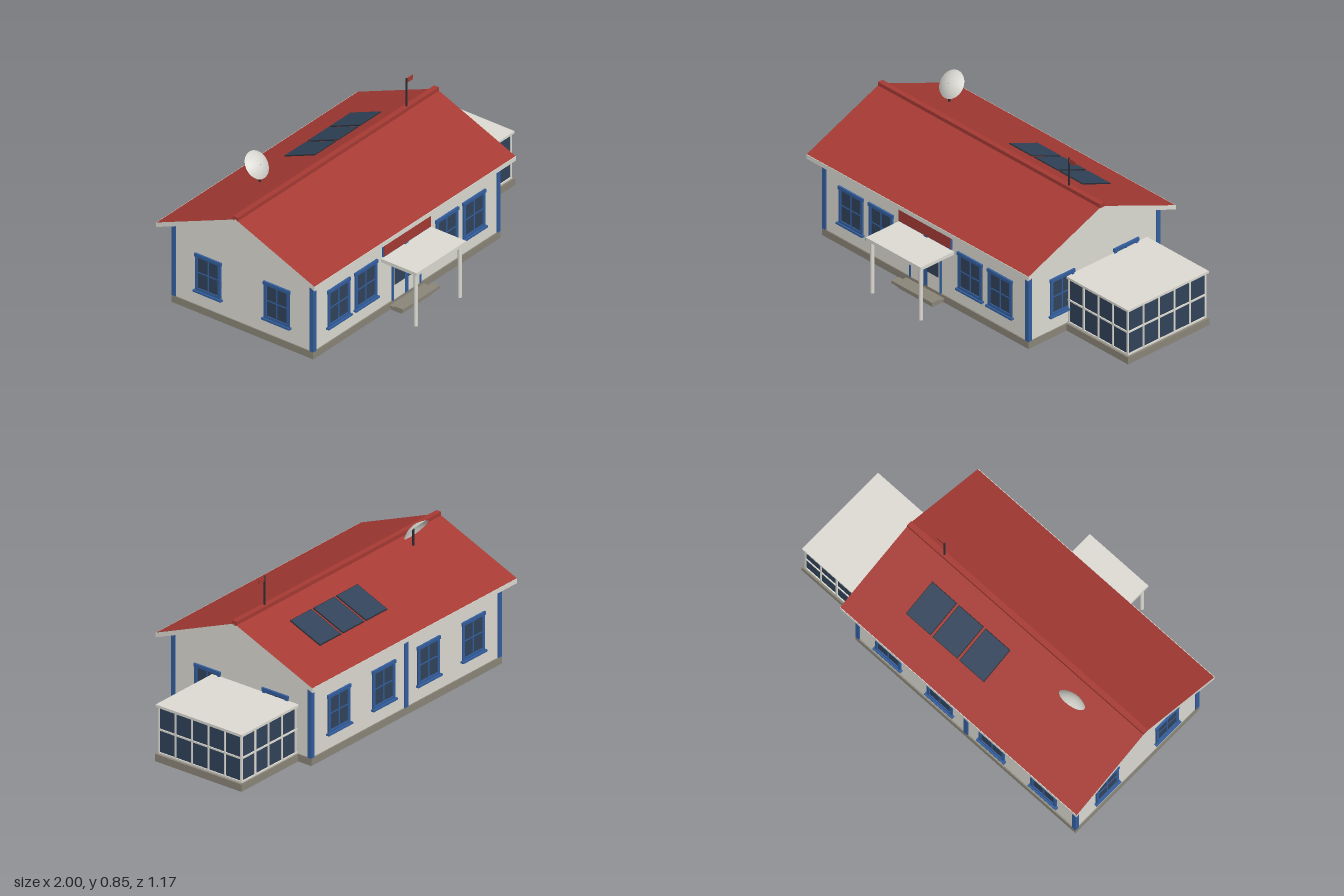
import * as THREE from 'three';

const mat = (name, color) => Object.assign(new THREE.MeshStandardMaterial({ color }), { name });

export function createModel() {
  const root = new THREE.Group();
  root.name = 'house';
  const white = mat('off white', 0xdddbd3), red = mat('roof red', 0xa63a33), blue = mat('trim blue', 0x335f9f);
  const glass = mat('glass navy', 0x31435a), stone = mat('stone grey', 0x8b8679), dark = mat('dark metal', 0x2b2c33);

  // Box given by its minimum and maximum corners
  function box(name, m, x0, x1, y0, y1, z0, z1, parent = root) {
    const mesh = new THREE.Mesh(new THREE.BoxGeometry(x1 - x0, y1 - y0, z1 - z0), m);
    mesh.position.set((x0 + x1) / 2, (y0 + y1) / 2, (z0 + z1) / 2);
    mesh.name = name;
    parent.add(mesh);
    return mesh;
  }
  function rod(name, m, r, x, y0, y1, z) {
    const mesh = new THREE.Mesh(new THREE.CylinderGeometry(r, r, y1 - y0, 16), m);
    mesh.position.set(x, (y0 + y1) / 2, z);
    mesh.name = name;
    root.add(mesh);
  }
  // Profile of [z, y] points swept from x0 to x1
  function sweep(name, m, points, x0, x1) {
    const shape = new THREE.Shape(points.map(([z, y]) => new THREE.Vector2(-z, y)));
    const geo = new THREE.ExtrudeGeometry(shape, { depth: x1 - x0, bevelEnabled: false });
    geo.rotateY(Math.PI / 2).translate(x0, 0, 0);
    const mesh = new THREE.Mesh(geo, m);
    mesh.name = name;
    root.add(mesh);
  }

  // Main body and plinth
  const L = -0.945, R = 0.55, F = 0.367, B = -0.529, MID = -0.198, RIDGE = -0.081;
  box('plinth', stone, L, R, 0.006, 0.046, B, F);
  sweep('walls', white, [[F - 0.007, 0.046], [F - 0.007, 0.465], [RIDGE, 0.648], [B + 0.007, 0.465], [B + 0.007, 0.046]], L + 0.006, R - 0.006);

  // Corner and middle pilasters, bands under the eaves
  for (const x of [L, R - 0.025])
    for (const z of [B, F - 0.025]) box('cornerPost', blue, x, x + 0.025, 0.046, 0.468, z, z + 0.025);
  for (const z of [B, F - 0.012]) {
    box('middlePost', blue, MID - 0.013, MID + 0.013, 0.046, 0.46, z, z + 0.012);
    box('eaveBand', blue, L, R, 0.446, 0.465, z, z + 0.012);
  }

  // Gable roof with pale end faces, eave boards and ridge cap
  const T = 0.026;
  sweep('roof', [white, red], [[0.417, 0.471], [RIDGE, 0.674], [-0.579, 0.471],
    [-0.579, 0.471 - T], [RIDGE, 0.674 - T], [0.417, 0.471 - T]], -1, 0.605);
  for (const z of [0.416, -0.582]) box('eaveBoard', white, -1, 0.605, 0.445, 0.47, z, z + 0.004);
  box('ridgeCap', red, -1, 0.605, 0.665, 0.688, RIDGE - 0.015, RIDGE + 0.015);

  // Paned window with frame and sill, facing +z before turning
  function paneWindow(x, z, turn, w = 0.172) {
    const g = new THREE.Group();
    g.name = 'window';
    const h = w / 2, y0 = 0.132, y1 = 0.342, t = 0.016, ym = 0.237;
    box('windowGlass', glass, -h, h, y0, y1, -0.004, 0.003, g);
    for (const s of [-1, 1]) box('frameSide', blue, s * (h - t / 2) - t / 2, s * (h - t / 2) + t / 2, y0, y1, 0, 0.009, g);
    box('frameTop', blue, -h - 0.004, h + 0.004, y1 - t, y1 + 0.002, 0, 0.011, g);
    box('frameBottom', blue, -h, h, y0, y0 + t, 0, 0.009, g);
    box('muntinUpright', blue, -0.004, 0.004, y0, y1, 0, 0.006, g);
    box('muntinCross', blue, -h, h, ym - 0.003, ym + 0.003, 0, 0.006, g);
    box('sill', blue, -h - 0.009, h + 0.009, 0.124, 0.134, 0, 0.018, g);
    g.position.set(x, 0, z);
    g.rotation.y = turn;
    root.add(g);
  }
  for (const x of [-0.738, -0.521, 0.125, 0.342]) paneWindow(x, F - 0.007, 0);
  for (const x of [-0.725, -0.373, -0.022, 0.329]) paneWindow(x, B + 0.007, Math.PI);
  for (const z of [0.136, -0.298]) {
    paneWindow(R - 0.006, z, Math.PI / 2, 0.16);
    paneWindow(L + 0.006, z, -Math.PI / 2, 0.16);
  }

  // Double door
  const W = F - 0.007;
  box('doorLeaves', white, -0.312, -0.084, 0.046, 0.285, W, W + 0.004);
  for (const x of [-0.312, -0.094]) box('doorJamb', blue, x, x + 0.01, 0.046, 0.285, W, W + 0.008);
  box('doorLintel', blue, -0.312, -0.084, 0.275, 0.285, W, W + 0.008);
  for (const x of [-0.293, -0.189]) box('doorGlass', glass, x, x + 0.086, 0.13, 0.252, W, W + 0.006);

  // Blank sign board over the entrance
  box('signBacking', blue, -0.388, -0.008, 0.335, 0.446, W, W + 0.01);
  box('signFace', red, -0.384, -0.012, 0.339, 0.442, W + 0.01, W + 0.013);

  // Porch canopy, posts and steps
  box('canopy', white, -0.395, 0.002, 0.307, 0.326, W, 0.585);
  for (const x of [-0.373, -0.021]) rod('porchPost', white, 0.011, x, 0.006, 0.308, 0.562);
  box('upperStep', stone, -0.345, -0.05, 0.031, 0.046, 0.408, 0.459);
  box('middleStep', stone, -0.333, -0.062, 0.016, 0.031, 0.36, 0.445);
  box('lowerStep', stone, -0.321, -0.074, 0, 0.016, 0.327, 0.432);

  // Glazed side room
  const SX = 0.982, SB = -0.436, SF = 0.098, b = 0.009;
  box('sideRoomPlinth', stone, R, 0.995, 0.006, 0.046, -0.445, 0.108);
  box('sideRoomGlass', glass, R - 0.01, SX - 0.006, 0.046, 0.306, SB + 0.006, SF - 0.006);
  box('sideRoomRoof', white, R - 0.01, 0.991, 0.304, 0.317, -0.444, 0.106);
  for (const y of [0.046, 0.175, 0.297]) {
    for (const z of [SB, SF - b]) box('glazingRail', white, R - 0.006, SX, y, y + b, z, z + b);
    box('glazingRail', white, SX - b, SX, y, y + b, SB, SF);
  }
  for (let i = 0; i <= 4; i++) {
    const x = R + (SX - b - R) * i / 4;
    for (const z of [SB, SF - b]) box('glazingBar', white, x, x + b, 0.046, 0.306, z, z + b);
  }
  for (let i = 1; i < 5; i++) {
    const z = SB + (SF - b - SB) * i / 5;
    box('glazingBar', white, SX - b, SX, 0.046, 0.306, z, z + b);
  }

  // Solar panels on the rear slope
  const slope = Math.atan2(0.203, 0.498);
  for (const x of [-0.12, 0.061, 0.242]) {
    const g = new THREE.Group();
    g.name = 'solarPanel';
    box('panelFrame', dark, -0.084, 0.084, -0.006, 0.004, -0.104, 0.104, g);
    box('panelCells', glass, -0.08, 0.08, 0.004, 0.006, -0.1, 0.1, g);
    g.position.set(x, 0.583, -0.305);
    g.rotation.x = -slope;
    root.add(g);
  }

  // Dish on its mast
  rod('dishMast', dark, 0.006, -0.64, 0.675, 0.778, -0.211);
  const bowl = [];
  for (let i = 0; i <= 8; i++) bowl.push(new THREE.Vector2(0.076 * i / 8, 0.027 * (1 - (i / 8) ** 2)));
  const dishMat = mat('dish grey', 0xd6d5cf);
  dishMat.side = THREE.DoubleSide;
  const dish = new THREE.Mesh(new THREE.LatheGeometry(bowl.reverse(), 32), dishMat);
  dish.name = 'dish';
  dish.position.set(-0.641, 0.765, -0.23);
  dish.rotation.x = Math.atan2(0.777, 0.63);
  root.add(dish);

  // Flag on the ridge
  rod('flagPole', dark, 0.005, 0.365, 0.68, 0.846, RIDGE);
  box('flag', red, 0.365, 0.414, 0.82, 0.845, RIDGE - 0.002, RIDGE + 0.002);
  return root;
}
